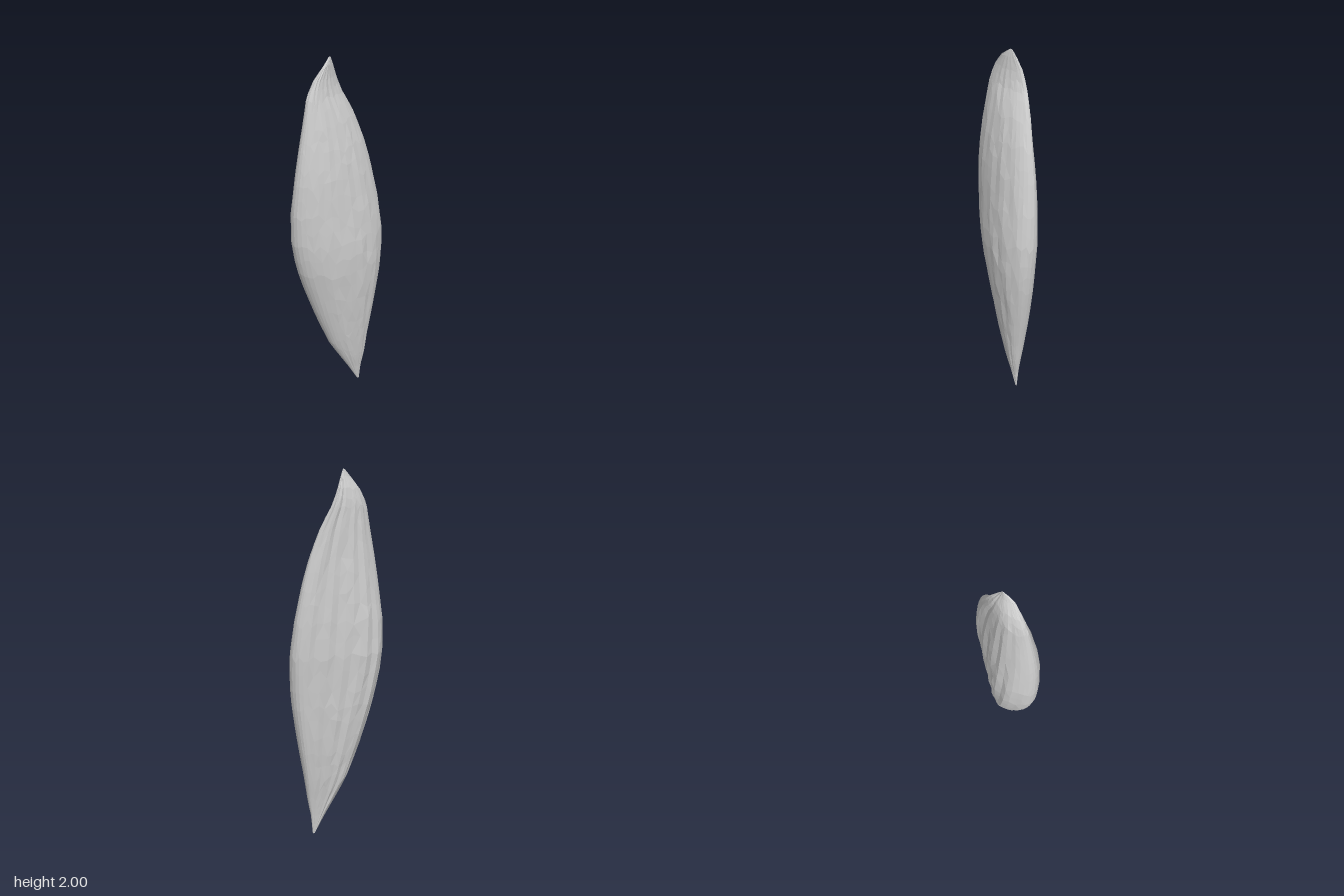
import * as THREE from 'three';

// Level: height, extent in x, extent in z
const LEVELS = [
  [0.00, 0.112, 0.122, -0.077, -0.067],
  [0.10, 0.062, 0.132, -0.087, -0.030],
  [0.18, 0.018, 0.150, -0.100, 0.002],
  [0.30, -0.048, 0.165, -0.122, 0.046],
  [0.50, -0.120, 0.197, -0.155, 0.100],
  [0.70, -0.180, 0.226, -0.180, 0.150],
  [0.85, -0.217, 0.238, -0.192, 0.185],
  [1.00, -0.240, 0.236, -0.203, 0.205],
  [1.20, -0.239, 0.208, -0.198, 0.213],
  [1.40, -0.212, 0.166, -0.181, 0.206],
  [1.55, -0.190, 0.125, -0.158, 0.186],
  [1.70, -0.165, 0.068, -0.130, 0.160],
  [1.82, -0.148, 0.004, -0.098, 0.136],
  [1.90, -0.114, -0.018, -0.070, 0.102],
  [1.97, -0.062, -0.032, -0.030, 0.054],
  [2.00, -0.044, -0.036, -0.006, 0.006],
];
const RINGS = 34;
const SIDES = 40;

// Small seeded generator for the irregular facets
function seeded(seed) {
  return () => {
    seed = (seed * 16807) % 2147483647;
    return seed / 2147483647;
  };
}

// Interpolate the extents at height y
function extentsAt(y) {
  let i = 0;
  while (i < LEVELS.length - 2 && y > LEVELS[i + 1][0]) i++;
  const a = LEVELS[i], b = LEVELS[i + 1];
  const t = (y - a[0]) / (b[0] - a[0]);
  return a.map((n, k) => n + (b[k] - n) * t);
}

function createHuskGeometry() {
  const random = seeded(41);
  const positions = [];
  const index = [];
  for (let r = 0; r <= RINGS; r++) {
    // rings gather towards both tips
    const ringY = 1 - Math.cos((r / RINGS) * Math.PI);
    const body = Math.min(1, ringY / 0.3, (2 - ringY) / 0.3);
    for (let s = 0; s < SIDES; s++) {
      const y = ringY + (random() - 0.5) * 0.05 * body;
      const [, x0, x1, z0, z1] = extentsAt(y);
      const hx = (x1 - x0) / 2, hz = (z1 - z0) / 2;
      // slanted oval: the phase sets its thickness, flatter towards the top
      const angle = (s / SIDES) * Math.PI * 2;
      const phase = Math.PI - (1.1 - 0.2 * y);
      const cx = Math.cos(angle), cz = Math.cos(angle - phase);
      const along = (cx - cz) / 2;
      // across the thickness: the back is hollowed on its left half
      let across = (hx * cx + hz * cz) / 2;
      const back = across < 0;
      const hollow = back ? 0.12 + 0.6 * along * (1 - along * along) : 0;
      // slanting lengthwise folds, deeper on the back
      const fold = Math.pow(Math.abs(Math.sin(along * 9 + y * 2.2)), 4);
      const depth = hollow + (back ? 0.1 : 0.04) * fold + (random() - 0.5) * 0.04;
      // fine pleats near the tips
      const pleat = s % 2 ? (1 - body) * 0.12 : 0;
      across *= depth + pleat;
      positions.push(
        (x0 + x1) / 2 + hx * cx - across,
        y,
        (z0 + z1) / 2 + hz * cz - across,
      );
    }
  }
  for (let r = 0; r < RINGS; r++) {
    for (let s = 0; s < SIDES; s++) {
      const n = (s + 1) % SIDES;
      const a = r * SIDES + s, b = r * SIDES + n;
      const c = a + SIDES, d = b + SIDES;
      if ((r + s) % 2) index.push(a, c, b, b, c, d);
      else index.push(a, c, d, a, d, b);
    }
  }
  // close the two tips
  const top = RINGS * SIDES;
  for (let s = 1; s < SIDES - 1; s++) {
    index.push(0, s, s + 1);
    index.push(top, top + s + 1, top + s);
  }
  const geometry = new THREE.BufferGeometry();
  geometry.setAttribute('position', new THREE.Float32BufferAttribute(positions, 3));
  geometry.setIndex(index);
  // separate facets give a hard, chipped surface
  const faceted = geometry.toNonIndexed();
  faceted.computeVertexNormals();
  return faceted;
}

export function createModel() {
  const model = new THREE.Group();
  model.name = 'huskBlade';
  const grey = new THREE.MeshStandardMaterial({ color: 0xcccccc });
  grey.name = 'stone grey';
  const husk = new THREE.Mesh(createHuskGeometry(), grey);
  husk.name = 'husk';
  model.add(husk);
  return model;
}
